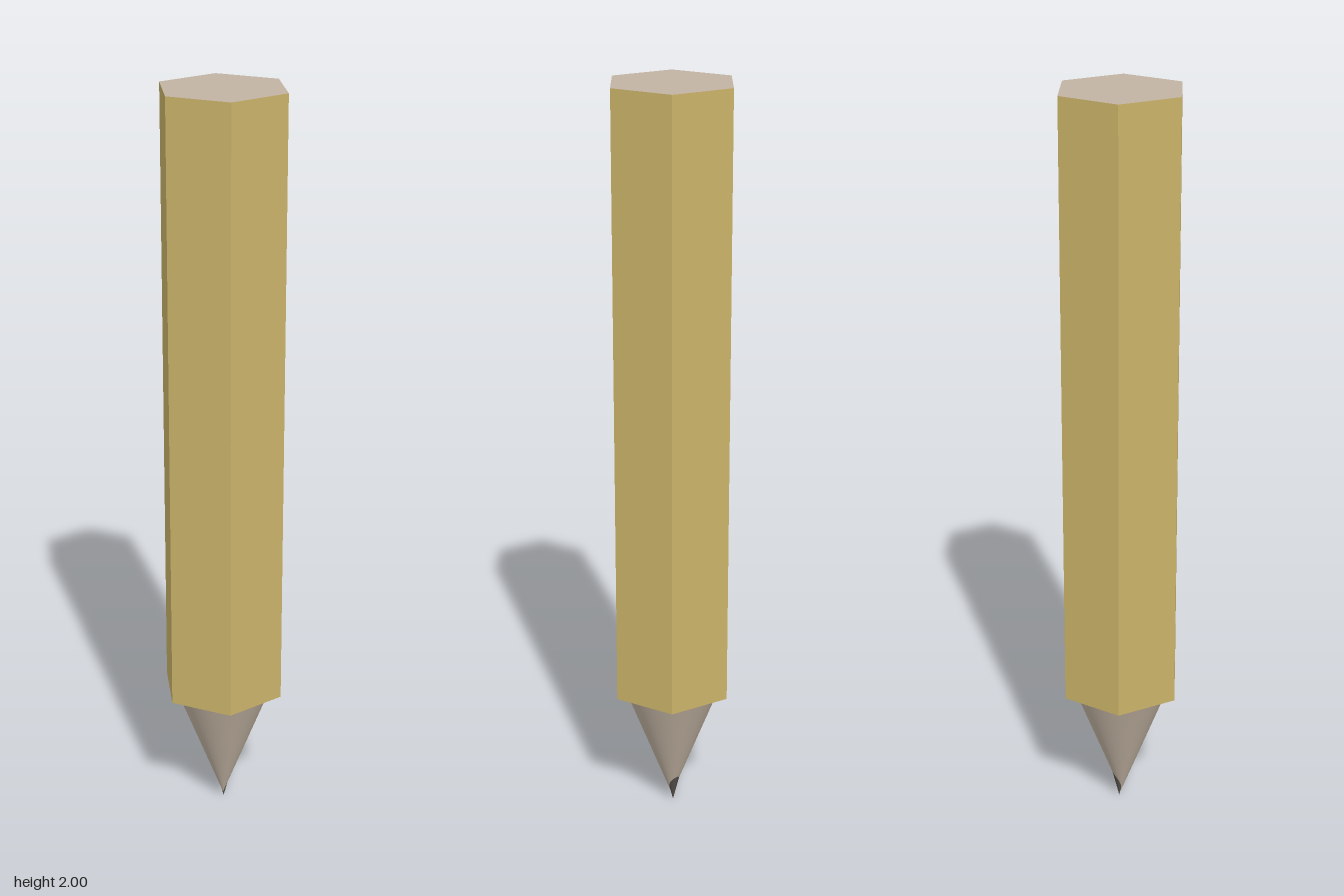
import * as THREE from 'three';

const paint = (color, flatShading = false) => new THREE.MeshStandardMaterial({ color, flatShading });

export function createModel() {
  const pencil = new THREE.Group();
  pencil.name = 'pencil';

  const bodyPaint = paint(0xcab369, true);
  const wood = paint(0xc2b3a2);
  const graphite = paint(0x55504a);

  const add = (name, geometry, material, x, y, z) => {
    const mesh = new THREE.Mesh(geometry, material);
    mesh.name = name;
    mesh.position.set(x, y, z);
    pencil.add(mesh);
  };

  // Hexagonal barrel: painted sides and underside, bare wood on top
  const bottom = 0.36, height = 2 - bottom;
  add('barrel', new THREE.CylinderGeometry(0.17, 0.17, height, 6),
    [bodyPaint, wood, bodyPaint], 0, bottom + height / 2, 0);

  // Sharpened wooden cone pointing down
  const coneHeight = 0.345;
  add('sharpenedCone', new THREE.CylinderGeometry(0.131, 0, coneHeight, 48),
    wood, 0, bottom - coneHeight / 2, 0);

  // Lead point, slightly off centre so it breaks through one side of the cone
  const leadHeight = 0.09;
  add('leadPoint', new THREE.CylinderGeometry(0.022, 0, leadHeight, 24),
    graphite, -0.003, leadHeight / 2, -0.004);

  return pencil;
}
